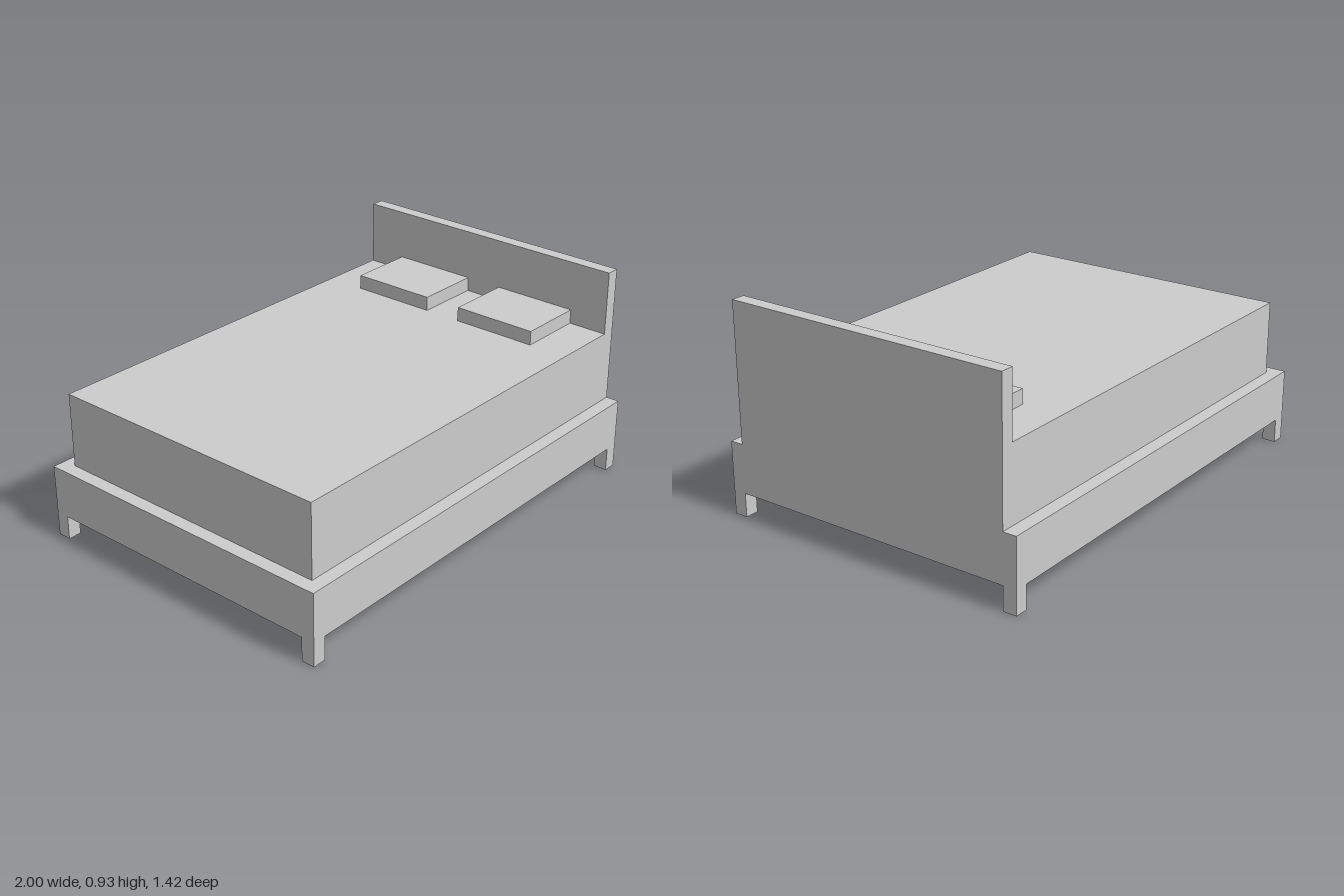
import * as THREE from 'three';

const material = new THREE.MeshStandardMaterial({ color: 0xcccccc, flatShading: true });

// Box spanning the given [min, max] ranges on each axis
function block(name, [x0, x1], [y0, y1], [z0, z1]) {
  const mesh = new THREE.Mesh(new THREE.BoxGeometry(x1 - x0, y1 - y0, z1 - z0), material);
  mesh.position.set((x0 + x1) / 2, (y0 + y1) / 2, (z0 + z1) / 2);
  mesh.name = name;
  return mesh;
}

export function createModel() {
  const bed = new THREE.Group();
  bed.name = 'bed';

  const halfWidth = 0.708;
  const inset = 0.06; // leg thickness and ledge width
  const legTop = 0.105;
  const frameTop = 0.32;
  const mattressTop = 0.645;
  const inner = [-halfWidth + inset, halfWidth - inset];

  // Base frame, mattress and headboard
  bed.add(
    block('frame', [-1, 1], [legTop, frameTop], [-halfWidth, halfWidth]),
    block('mattress', [-1 + inset, 1 - inset], [frameTop, mattressTop], inner),
    block('headboard', [1 - inset, 1], [frameTop, 0.927], inner)
  );

  for (const side of [-1, 1]) {
    const label = side > 0 ? 'front' : 'back';

    // Pillow against the headboard
    const pillow = block(label + 'Pillow', [0.64, 1 - inset], [mattressTop, 0.708], [-0.193, 0.193]);
    pillow.position.z = side * 0.278;
    bed.add(pillow);

    // Square corner legs
    for (const end of [-1, 1]) {
      const leg = block(label + (end > 0 ? 'Head' : 'Foot') + 'Leg', [0, inset], [0, legTop], [0, inset]);
      leg.position.x = end * (1 - inset / 2);
      leg.position.z = side * (halfWidth - inset / 2);
      bed.add(leg);
    }
  }
  return bed;
}
